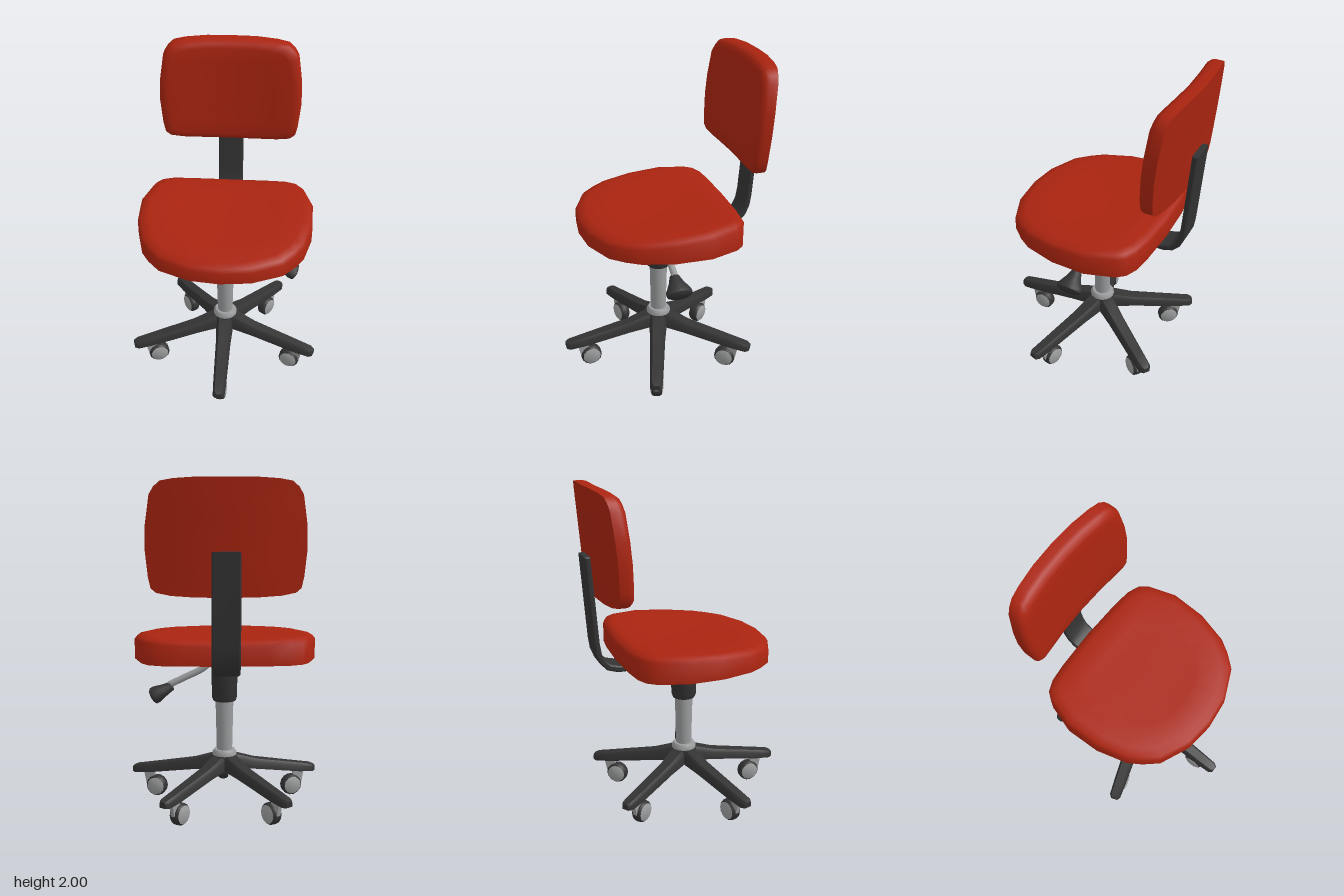
import * as THREE from 'three';
import { toCreasedNormals } from 'three/addons/utils/BufferGeometryUtils.js';

const material = (name, color) => {
  const m = new THREE.MeshStandardMaterial({ color });
  m.name = name;
  return m;
};

const add = (parent, name, geometry, mat) => {
  const mesh = new THREE.Mesh(geometry, mat);
  mesh.name = name;
  parent.add(mesh);
  return mesh;
};

// Skin a list of closed rings (counter-clockwise about the loft direction) and cap both ends.
function loft(rings, crease) {
  const n = rings[0].length, pos = [], idx = [];
  const centre = (r) => [0, 1, 2].map((k) => r.reduce((s, p) => s + p[k], 0) / n);
  rings.forEach((r) => r.forEach((p) => pos.push(...p)));
  const last = (rings.length - 1) * n, c0 = rings.length * n, c1 = c0 + 1;
  pos.push(...centre(rings[0]), ...centre(rings[rings.length - 1]));
  for (let j = 0; j < n; j++) {
    const k = (j + 1) % n;
    for (let i = 0; i < last; i += n) idx.push(i + j, i + k, i + n + k, i + j, i + n + k, i + n + j);
    idx.push(c0, k, j, c1, last + j, last + k);
  }
  const g = new THREE.BufferGeometry();
  g.setAttribute('position', new THREE.Float32BufferAttribute(pos, 3));
  g.setIndex(idx);
  return toCreasedNormals(g, crease);
}

// Complete a half outline that starts and ends on the centre line.
const mirrored = (half) => [...half, ...half.slice(1, -1).reverse().map(([x, y]) => [-x, y])];

// Flat side profile given as [z, y], extruded to a width along x.
function profile(points, width, bevel = 0) {
  const shape = new THREE.Shape(points.map(([z, y]) => new THREE.Vector2(z, y)));
  const g = new THREE.ExtrudeGeometry(shape, {
    depth: width - 2 * bevel, bevelEnabled: bevel > 0, bevelSize: bevel,
    bevelThickness: bevel, bevelOffset: -bevel, bevelSegments: 1,
  });
  g.translate(0, 0, bevel - width / 2).rotateY(-Math.PI / 2);
  return toCreasedNormals(g, 0.6);
}

const lathe = (pts, seg) =>
  toCreasedNormals(new THREE.LatheGeometry(pts.map((p) => new THREE.Vector2(...p)), seg), 0.7);

// Padded seat: flat underside, gently dished top rising to the back.
function seatGeometry() {
  const outline = mirrored([[0, 0.5], [0.18, 0.48], [0.36, 0.4], [0.43, 0.32], [0.48, 0.24], [0.53, 0.05],
    [0.535, -0.16], [0.48, -0.33], [0.44, -0.38], [0.37, -0.41], [0.25, -0.425], [0, -0.435]]);
  const top = (x, z) => 1.095 - 0.055 * z + (0.12 * x * x - 0.02) * (0.5 - z);
  const layers = [[1, -0.035], [0.97, -0.013], [0.88, 0], [0.6, -0.004], [0.3, -0.007]];
  return loft([
    outline.map(([x, z]) => [x, 0.96, z]),
    ...layers.map(([s, h]) => outline.map(([x, z]) => [x * s, top(x * s, z * s) + h, z * s])),
  ], 0.95);
}

// Backrest: leans back and wraps forward at the sides.
function backrestGeometry() {
  const mid = 1.68;
  const outline = mirrored([[0, 1.36], [0.18, 1.363], [0.3, 1.37], [0.38, 1.385], [0.41, 1.41], [0.423, 1.47],
    [0.438, 1.62], [0.434, 1.75], [0.41, 1.91], [0.385, 1.95], [0.35, 1.98], [0.28, 1.992], [0.15, 2], [0, 2]]);
  const back = (x, y) => -0.55 - 0.078 * (y - 1.36) + 0.25 * x * x;
  const layers = [[0.35, 0], [0.7, 0], [1, 0], [1, 0.05], [0.985, 0.072], [0.94, 0.092], [0.86, 0.1],
    [0.6, 0.1], [0.3, 0.1]];
  return loft(layers.map(([s, h]) => outline.map(([px, py]) => {
    const x = px * s, y = mid + (py - mid) * s;
    return [x, y, back(x, y) + h];
  })), 0.95);
}

// One tapering leg of the star base, running along +z.
function armGeometry() {
  const stations = [ // z, half width, bottom, top
    [0, 0.055, 0.235, 0.32], [0.08, 0.055, 0.23, 0.315], [0.2, 0.048, 0.212, 0.275],
    [0.5, 0.041, 0.16, 0.215], [0.595, 0.037, 0.15, 0.197], [0.617, 0.022, 0.152, 0.187]];
  return loft(stations.map(([z, w, b, t]) => {
    const e = b + (t - b) * 0.7;
    return [[-w, b, z], [w, b, z], [w * 0.95, e, z], [w * 0.65, t, z], [-w * 0.65, t, z], [-w * 0.95, e, z]];
  }), 0.7);
}

// Twin-wheel caster trailing inward from the leg tip.
function addCaster(parent, dark, metal) {
  const caster = new THREE.Group();
  caster.name = 'caster';
  add(caster, 'casterStrap', profile([[0.545, 0.17], [0.46, 0.07], [0.525, 0.07]].toSpliced(1, 0, [0.475, 0.17]).reverse(), 0.026), metal);
  const wheel = new THREE.Group();
  wheel.name = 'wheel';
  wheel.position.set(0, 0.068, 0.457);
  wheel.rotation.z = -Math.PI / 2;
  add(wheel, 'tyre', lathe([[0.056, -0.032], [0.066, -0.02], [0.068, 0], [0.066, 0.02], [0.056, 0.032]], 14), dark);
  for (const turn of [0, Math.PI]) {
    add(wheel, 'wheelCover', lathe([[0.057, 0.031], [0.04, 0.039], [0, 0.042]], 14), metal).rotation.x = turn;
  }
  caster.add(wheel);
  parent.add(caster);
}

export function createModel() {
  const red = material('red upholstery', 0xaa2410);
  const dark = material('dark plastic', 0x333333);
  const metal = material('grey metal', 0x9c9d9e);
  const chair = new THREE.Group();
  chair.name = 'officeChair';

  add(chair, 'seat', seatGeometry(), red);
  add(chair, 'backrest', backrestGeometry(), red);

  // Bent flat bar joining seat and backrest
  add(chair, 'backrestBar', profile([
    [-0.17, 0.905], [-0.17, 0.943], [-0.43, 0.943], [-0.48, 0.955], [-0.515, 0.985], [-0.535, 1.03], [-0.546, 1.1],
    [-0.582, 1.61], [-0.617, 1.61], [-0.582, 1.1], [-0.572, 1.03], [-0.548, 0.97], [-0.505, 0.925], [-0.44, 0.905],
  ], 0.16, 0.008), dark);

  // Star base with casters
  for (let i = 0; i < 5; i++) {
    const leg = new THREE.Group();
    leg.name = 'baseLeg';
    leg.rotation.y = (i * Math.PI * 2) / 5;
    add(leg, 'legArm', armGeometry(), dark);
    addCaster(leg, dark, metal);
    chair.add(leg);
  }
  add(chair, 'baseHub', lathe([[0, 0.225], [0.07, 0.225], [0.085, 0.28], [0.078, 0.318], [0, 0.318]], 20), dark);

  // Gas lift
  add(chair, 'hubCollar', lathe([[0.076, 0.31], [0.076, 0.335], [0.064, 0.353], [0.04, 0.353]], 16), metal);
  add(chair, 'column', lathe([[0.048, 0.34], [0.056, 0.68]], 16), metal);
  add(chair, 'columnSleeve',
    lathe([[0.04, 0.665], [0.07, 0.665], [0.077, 0.685], [0.084, 0.962], [0, 0.962]], 16), dark);

  // Height lever with flared oval knob
  const path = new THREE.CatmullRomCurve3([[0.05, 0.965], [0.085, 0.91], [0.14, 0.862], [0.24, 0.813], [0.34, 0.765]]
    .map(([x, y]) => new THREE.Vector3(x, y, 0)));
  add(chair, 'leverRod', new THREE.TubeGeometry(path, 16, 0.021, 10), metal);
  const sections = [[0, 0.028, 0.028], [0.05, 0.048, 0.037], [0.11, 0.082, 0.053], [0.13, 0.08, 0.052], [0.14, 0.06, 0.04]];
  const knob = loft(sections.map(([z, w, h]) => Array.from({ length: 12 }, (_, k) => {
    const a = (k * Math.PI) / 6;
    return [w * Math.cos(a), h * Math.sin(a), z];
  })), 0.8);
  const knobMesh = add(chair, 'leverKnob', knob, dark);
  knobMesh.position.set(0.325, 0.757, 0);
  knobMesh.lookAt(0.445, 0.69, 0);

  return chair;
}
